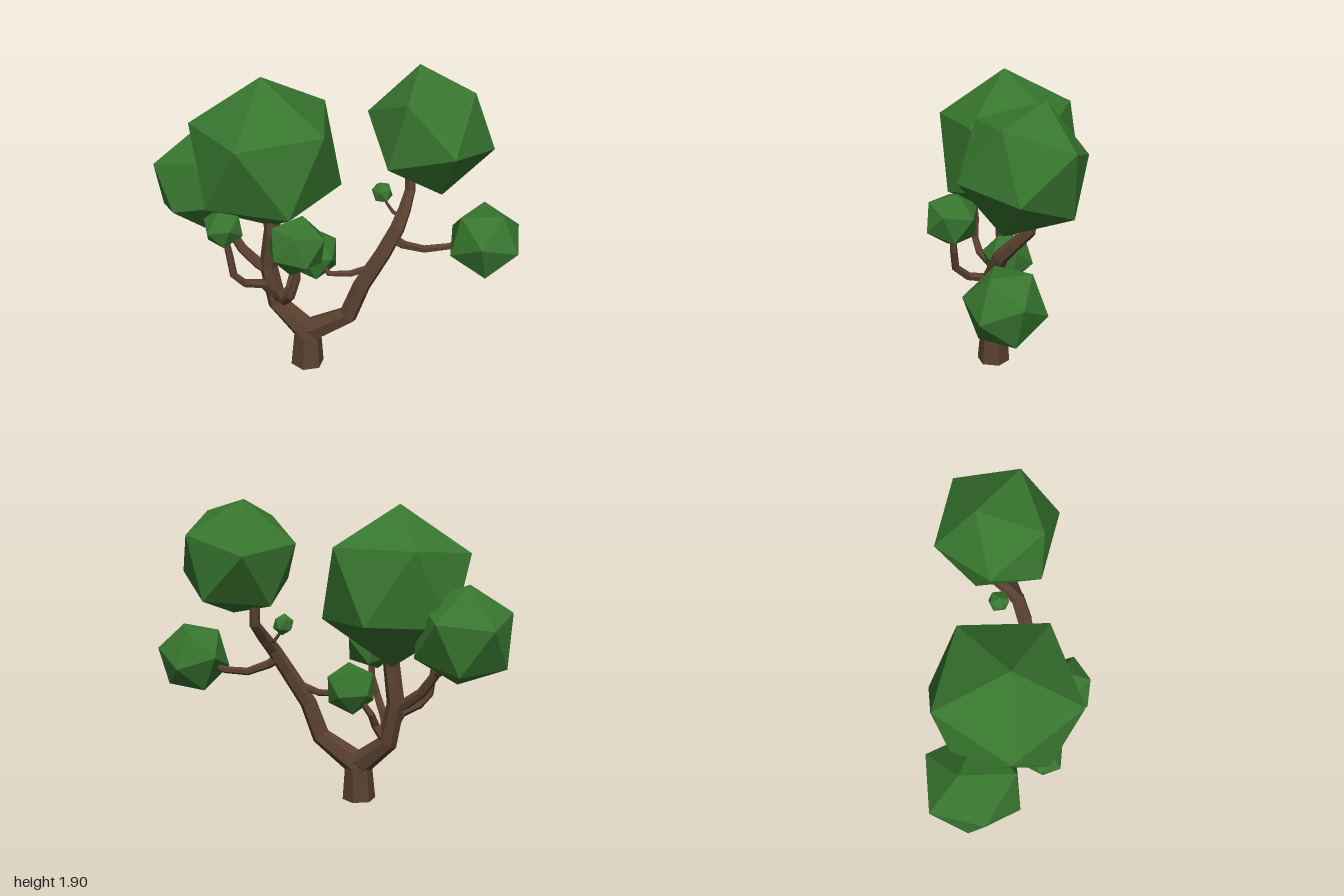
import * as THREE from 'three';

const V = (a) => new THREE.Vector3(...a);
const bark = new THREE.MeshStandardMaterial({ color: 0x59402f, flatShading: true });
const leaf = new THREE.MeshStandardMaterial({ color: 0x38762f, flatShading: true });

// Tapered, capped six-sided limb through points [x, y, z, radius]
function limb(name, path, sides = 6) {
  const pts = path.map((p) => V(p.slice(0, 3)));
  const pos = [], idx = [];
  const last = pts.length - 1;
  let t = null, u = null;
  pts.forEach((p, j) => {
    const before = p.clone().sub(pts[Math.max(j - 1, 0)]).normalize();
    const after = pts[Math.min(j + 1, last)].clone().sub(p).normalize();
    const dir = before.add(after).normalize();
    if (!t) {
      u = new THREE.Vector3(1, 0, 0);
      if (Math.abs(dir.x) > 0.8) u.set(0, 0, 1);
    } else {
      u.applyQuaternion(new THREE.Quaternion().setFromUnitVectors(t, dir));
    }
    t = dir;
    u.addScaledVector(t, -u.dot(t)).normalize();
    const v = t.clone().cross(u);
    for (let i = 0; i < sides; i++) {
      const a = (i / sides) * Math.PI * 2, r = path[j][3];
      const q = p.clone().addScaledVector(u, Math.cos(a) * r).addScaledVector(v, Math.sin(a) * r);
      pos.push(q.x, q.y, q.z);
      if (j < last) {
        const A = j * sides + i, B = j * sides + (i + 1) % sides;
        idx.push(A, B, A + sides, B, B + sides, A + sides);
      }
    }
  });
  for (let i = 1; i < sides - 1; i++) {
    const e = last * sides;
    idx.push(0, i + 1, i, e, e + i, e + i + 1);
  }
  const g = new THREE.BufferGeometry();
  g.setAttribute('position', new THREE.Float32BufferAttribute(pos, 3));
  g.setIndex(idx);
  g.computeVertexNormals();
  const m = new THREE.Mesh(g, bark);
  m.name = name;
  return m;
}

// Orthonormal basis from two directions
function basis(a, b) {
  const x = a.clone().normalize();
  const z = x.clone().cross(b).normalize();
  return new THREE.Matrix4().makeBasis(x, z.clone().cross(x), z);
}

// Icosahedron turned so two neighbouring corners point along dirA and dirB
function foliage(name, centre, radius, dirA, dirB) {
  const f = (1 + Math.sqrt(5)) / 2;
  const m = new THREE.Mesh(new THREE.IcosahedronGeometry(radius, 0), leaf);
  const from = basis(V([-1, f, 0]), V([1, f, 0]));
  const rot = basis(V(dirA), V(dirB)).multiply(from.transpose());
  m.quaternion.setFromRotationMatrix(rot);
  m.position.set(...centre);
  m.name = name;
  return m;
}

export function createModel() {
  const tree = new THREE.Group();
  tree.name = 'tree';

  // Trunk and the two main limbs
  tree.add(
    limb('trunk', [[0, 0, 0.225, 0.105], [0, 0.21, 0.22, 0.087], [0, 0.27, 0.215, 0.06]]),
    limb('leftMainLimb', [[-0.03, 0.21, 0.215, 0.07], [0.03, 0.25, 0.195, 0.078], [0.22, 0.385, 0.085, 0.06],
      [0.28, 0.6, 0.03, 0.054], [0.35, 0.8, -0.075, 0.05], [0.38, 0.95, -0.165, 0.046],
      [0.36, 1.04, -0.25, 0.04], [0.325, 1.13, -0.335, 0.034], [0.31, 1.3, -0.345, 0.03]]),
    limb('rightMainLimb', [[0.04, 0.21, 0.21, 0.07], [-0.03, 0.25, 0.23, 0.078], [-0.19, 0.395, 0.3, 0.062],
      [-0.235, 0.65, 0.325, 0.056], [-0.2, 0.9, 0.315, 0.052], [-0.22, 1.15, 0.31, 0.045]]),
  );

  // Side branches
  tree.add(
    limb('outerRightBranch', [[-0.22, 0.62, 0.33, 0.035], [-0.29, 0.655, 0.36, 0.036], [-0.39, 0.735, 0.4, 0.032],
      [-0.48, 0.86, 0.43, 0.028], [-0.6, 0.93, 0.44, 0.024]]),
    limb('frontRightBranch', [[-0.19, 0.45, 0.31, 0.035], [-0.19, 0.57, 0.41, 0.03], [-0.22, 0.61, 0.53, 0.026],
      [-0.25, 0.68, 0.59, 0.024], [-0.27, 0.82, 0.6, 0.022], [-0.28, 0.95, 0.62, 0.018]]),
    limb('frontMiddleBranch', [[-0.18, 0.43, 0.3, 0.035], [-0.09, 0.51, 0.36, 0.032], [0.01, 0.535, 0.42, 0.028],
      [0.1, 0.62, 0.45, 0.026], [0.135, 0.75, 0.43, 0.024], [0.14, 0.88, 0.43, 0.02]]),
    limb('innerTwig', [[-0.18, 0.42, 0.28, 0.03], [-0.13, 0.5, 0.25, 0.026], [-0.15, 0.58, 0.2, 0.022],
      [-0.09, 0.67, 0.16, 0.018]]),
    limb('innerLeftBranch', [[0.33, 0.73, -0.02, 0.026], [0.3, 0.71, 0, 0.024], [0.22, 0.67, 0.07, 0.022],
      [0.13, 0.67, 0.16, 0.019], [0.01, 0.72, 0.14, 0.016]]),
    limb('outerLeftBranch', [[0.36, 0.9, -0.13, 0.032], [0.42, 0.85, -0.18, 0.028], [0.49, 0.805, -0.29, 0.025],
      [0.58, 0.815, -0.4, 0.022], [0.7, 0.86, -0.5, 0.018]]),
    limb('topTwig', [[0.37, 1, -0.21, 0.014], [0.3, 1.02, -0.21, 0.011], [0.27, 1.07, -0.19, 0.009],
      [0.235, 1.12, -0.19, 0.007]]),
  );

  // Leaf clumps
  tree.add(
    foliage('crownRight', [-0.26, 1.376, 0.295], 0.49, [0.01, 0.49, 0.035], [0.21, 0.18, 0.415]),
    foliage('crownLeft', [0.43, 1.535, -0.38], 0.385, [-0.136, 0.358, -0.04], [0.067, 0.24, 0.294]),
    foliage('outerRightClump', [-0.69, 1.12, 0.45], 0.317, [-0.075, 0.302, -0.03], [-0.31, 0.067, -0.05]),
    foliage('outerLeftClump', [0.765, 0.885, -0.52], 0.234, [0.23, -0.02, -0.02], [0.123, 0.2, 0]),
    foliage('frontMiddleClump', [0.14, 0.968, 0.432], 0.183, [0, 0.177, -0.05], [0, 0.045, -0.165]),
    foliage('innerClump', [-0.035, 0.735, 0.13], 0.165, [0.16, 0.02, 0], [0.057, 0.152, 0.026]),
    foliage('frontRightClump', [-0.283, 1.003, 0.625], 0.126, [0.01, 0, 0.125], [0.015, 0.115, 0.05]),
    foliage('topClump', [0.23, 1.13, -0.19], 0.068, [0, 0.065, 0.01], [0.03, 0.03, 0.05]),
  );
  return tree;
}
